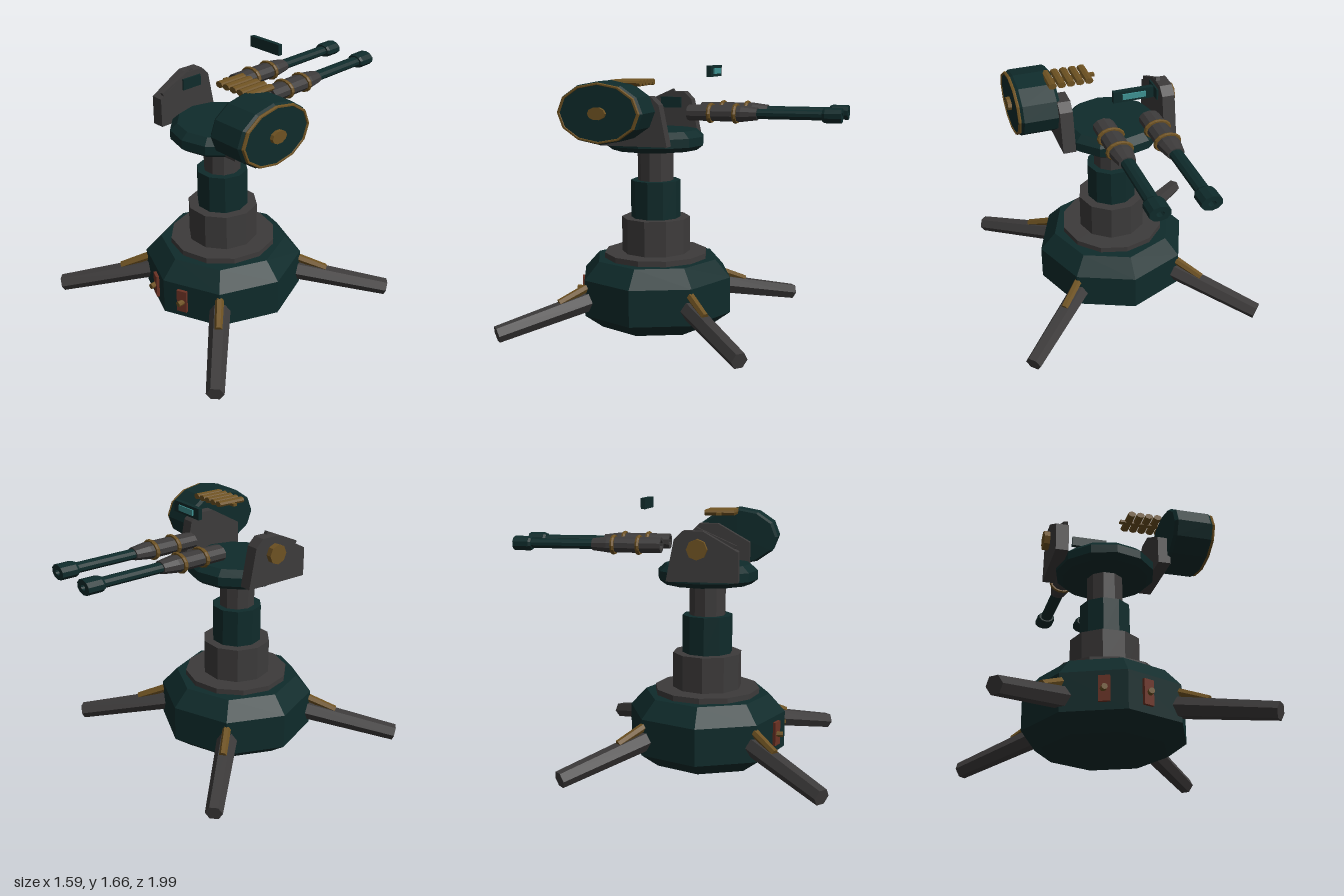
import * as THREE from 'three';

const mat = (name, color) => {
  const m = new THREE.MeshStandardMaterial({ color });
  m.name = name;
  return m;
};

export function createModel() {
  const teal = mat('darkTeal', 0x0f2b2b);
  const grey = mat('gunGrey', 0x3d3b3b);
  const gold = mat('brass', 0x6e5222);
  const red = mat('rustRed', 0x6b3224);
  const cyan = mat('sightCyan', 0x3f9494);
  const model = new THREE.Group();
  model.name = 'turret';
  const CZ = 0.2; // centre line of the pedestal

  // Bakes faceted normals into a geometry
  const flat = (geo) => {
    const g = geo.index ? geo.toNonIndexed() : geo;
    g.computeVertexNormals();
    return g;
  };
  const add = (name, geo, material, x = 0, y = 0, z = 0, parent = model) => {
    const m = new THREE.Mesh(flat(geo), material);
    m.name = name;
    m.position.set(x, y, z);
    parent.add(m);
    return m;
  };
  const lathe = (pts, sides) =>
    new THREE.LatheGeometry(pts.map(([r, y]) => new THREE.Vector2(r, y)), sides);
  const cyl = (r1, r2, h, sides) => new THREE.CylinderGeometry(r1, r2, h, sides);
  const box = (w, h, d) => new THREE.BoxGeometry(w, h, d);

  // Pedestal
  add('base', lathe([[0, 0], [0.38, 0], [0.5, 0.09], [0.5, 0.32], [0.4, 0.43], [0, 0.43]], 8), teal, 0, 0, CZ);
  add('collar', cyl(0.335, 0.335, 0.04, 12), grey, 0, 0.445, CZ);
  [
    ['lowerColumn', 0.22, 0.46, 0.69, grey],
    ['middleColumn', 0.16, 0.69, 0.93, teal],
    ['upperColumn', 0.115, 0.93, 1.14, grey],
  ].forEach(([name, r, y0, y1, m]) =>
    add(name, cyl(r, r, y1 - y0, 10).rotateY(Math.PI / 2), m, 0, (y0 + y1) / 2, CZ));
  add('turntable', lathe([[0, 1.13], [0.275, 1.13], [0.315, 1.16], [0.315, 1.215], [0.27, 1.255], [0, 1.255]], 12), teal, 0, 0, CZ);

  // Four splayed legs with brass braces, each built along +x of its group
  const rod = (name, from, to, r0, r1, sides, material, parent) => {
    const a = new THREE.Vector3(from[0], from[1], 0);
    const b = new THREE.Vector3(to[0], to[1], 0);
    const dir = b.clone().sub(a);
    const m = add(name, cyl(r1, r0, dir.length(), sides), material, 0, 0, 0, parent);
    m.position.copy(a).add(b).multiplyScalar(0.5);
    m.quaternion.setFromUnitVectors(new THREE.Vector3(0, 1, 0), dir.normalize());
  };
  for (let i = 0; i < 4; i++) {
    const leg = new THREE.Group();
    leg.name = 'leg';
    leg.position.z = CZ;
    leg.rotation.y = Math.PI / 4 + (i * Math.PI) / 2;
    rod('legBeam', [0.4, 0.2], [1.07, 0.052], 0.066, 0.053, 6, grey, leg);
    rod('legBrace', [0.43, 0.295], [0.67, 0.195], 0.028, 0.024, 6, gold, leg);
    model.add(leg);
  }

  // Front hatches with knobs
  for (const s of [-1, 1]) {
    const hatch = add('hatch', box(0.066, 0.15, 0.03), red, s * 0.123, 0.21, 0.653);
    hatch.rotation.y = s * Math.PI / 8;
    add('hatchKnob', cyl(0.018, 0.018, 0.045, 8).rotateX(Math.PI / 2), gold, s * 0.133, 0.207, 0.677);
  }

  // Side brackets, outline drawn as (z, y)
  const outline = [[0, 1.18], [0.05, 1.43], [0.1, 1.48], [0.22, 1.48], [0.43, 1.36], [0.43, 1.18]];
  const bracketShape = new THREE.Shape(outline.map(([z, y]) => new THREE.Vector2(-z, y)));
  for (const x of [-0.365, 0.285]) {
    const g = new THREE.ExtrudeGeometry(bracketShape, { depth: 0.08, bevelEnabled: false });
    add('bracket', g.rotateY(Math.PI / 2), grey, x);
  }
  add('bracketRail', box(0.025, 0.025, 0.26).rotateX(0.42), grey, -0.3, 1.435, 0.29);
  add('bracketPanel', box(0.012, 0.07, 0.14), teal, -0.28, 1.41, 0.19);
  add('leftHub', cyl(0.062, 0.062, 0.04, 8).rotateZ(Math.PI / 2), gold, -0.382, 1.375, 0.19);

  // Flattened ammunition drum on the left side
  const SQUASH = 0.69;
  const drum = new THREE.Group();
  drum.name = 'ammoDrum';
  drum.position.set(0, 1.392, 0.34);
  model.add(drum);
  const drumPart = (name, geo, material, x) =>
    add(name, geo.scale(1, SQUASH, 1), material, x, 0, 0, drum);
  drumPart('drumBody', lathe([[0, 0.345], [0.25, 0.345], [0.268, 0.365], [0.268, 0.575], [0.245, 0.603], [0, 0.603]], 12)
    .rotateZ(-Math.PI / 2), teal, 0);
  drumPart('drumRim', new THREE.TorusGeometry(0.247, 0.012, 6, 12).rotateY(Math.PI / 2), gold, 0.598);
  drumPart('drumHub', cyl(0.055, 0.055, 0.04, 10).rotateZ(Math.PI / 2), gold, 0.607);

  // Ammunition belt
  add('beltLink', box(0.29, 0.016, 0.03), gold, 0.235, 1.552, 0.25);
  for (let i = 0; i < 5; i++) {
    const shell = cyl(0.027, 0.027, 0.19, 8).rotateX(Math.PI / 2).scale(1, 0.7, 1);
    add('beltShell', shell, gold, 0.147 + i * 0.057, 1.56, 0.252);
  }

  // Hollow twin guns, profiles as (radius, distance towards the muzzle)
  const tube = (outer, inner) => {
    const first = outer[0], last = outer[outer.length - 1];
    return lathe([[inner, first[1]], ...outer, [inner, last[1]], [inner, first[1]]], 10)
      .rotateX(-Math.PI / 2).scale(1, 0.71, 1);
  };
  for (const x of [-0.157, 0.132]) {
    const gun = new THREE.Group();
    gun.name = 'gun';
    gun.position.set(x, 1.375, 0);
    gun.rotation.y = 0.013;
    model.add(gun);
    add('receiver', tube([[0.068, 0.065], [0.07, 0.37], [0.07, 0.4], [0.053, 0.495]], 0.042), grey, 0, 0, 0, gun);
    add('barrel', tube([[0.043, 0.14], [0.042, 0.9]], 0.024), teal, 0, 0, 0, gun);
    add('muzzle', tube([[0.055, 0.885], [0.064, 0.9], [0.064, 0.998]], 0.024), teal, 0, 0, 0, gun);
    for (const z of [-0.205, -0.362])
      add('gunRing', new THREE.TorusGeometry(0.074, 0.013, 6, 14).scale(1, 0.72, 1), gold, 0, 0, z, gun);
  }

  // Sight box with a lit screen facing the muzzles
  add('sightBox', box(0.242, 0.068, 0.028), teal, -0.01, 1.625, -0.185);
  add('sightScreen', box(0.14, 0.034, 0.009), cyan, -0.012, 1.625, -0.2035);

  return model;
}
